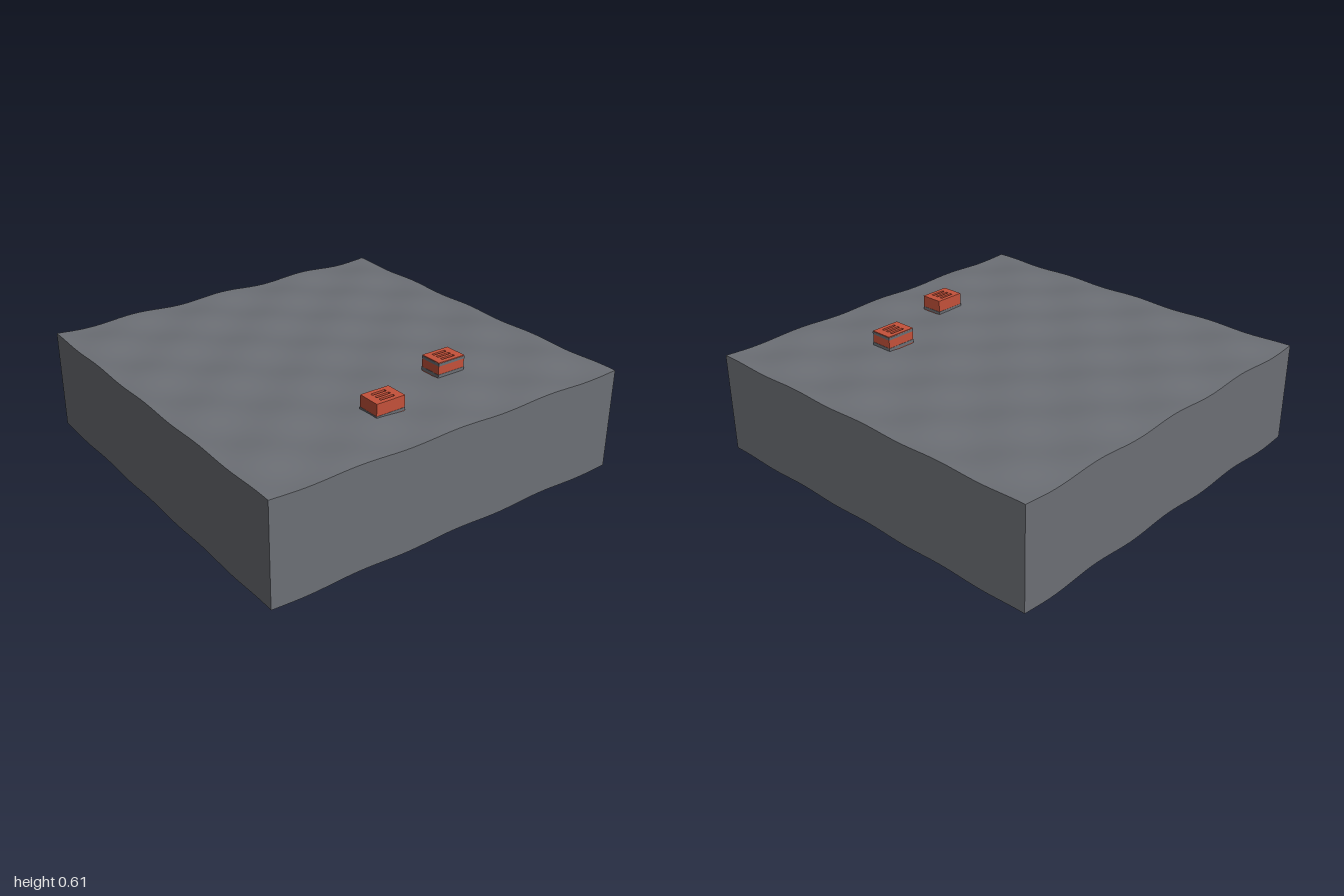
import * as THREE from 'three';

const HALF = 1, LEVEL = 0.535, DEPTH = 0.527, SEGMENTS = 56;

// Gentle ripple of the ground, used by the surface and by both rims of the walls
const ripple = (x, z) => 0.008 * Math.cos(13.1 * (x + 0.03)) * Math.cos(11.5 * z);

export function createModel() {
  const stone = new THREE.MeshStandardMaterial({ color: 0x6c6f75, side: THREE.DoubleSide });
  stone.name = 'stone grey';
  const clay = new THREE.MeshStandardMaterial({ color: 0xc4513a });
  clay.name = 'brick red';

  const model = new THREE.Group();
  model.name = 'groundBlock';
  const add = (parent, geometry, material, name) => {
    const mesh = new THREE.Mesh(geometry, material);
    mesh.name = name;
    parent.add(mesh);
    return mesh;
  };

  // Lift every vertex by the ripple at its place
  const applyRipple = (geometry) => {
    const p = geometry.attributes.position;
    for (let i = 0; i < p.count; i++) p.setY(i, p.getY(i) + ripple(p.getX(i), p.getZ(i)));
    geometry.computeVertexNormals();
    return geometry;
  };

  // Rippled top surface
  const ground = new THREE.PlaneGeometry(2 * HALF, 2 * HALF, SEGMENTS, SEGMENTS);
  ground.rotateX(-Math.PI / 2).translate(0, LEVEL, 0);
  add(model, applyRipple(ground), stone, 'groundSurface');

  // Four thin walls, open below, whose upper and lower edges follow the ripple
  ['frontWall', 'leftWall', 'backWall', 'rightWall'].forEach((name, i) => {
    const wall = new THREE.PlaneGeometry(2 * HALF, DEPTH, SEGMENTS, 1);
    wall.translate(0, LEVEL - DEPTH / 2, HALF).rotateY(i * Math.PI / 2);
    add(model, applyRipple(wall), stone, name);
  });

  // Rectangle outline, usable as a shape or as a hole
  const rectangle = (PathType, x, w, d) => new PathType([
    [-w / 2, -d / 2], [w / 2, -d / 2], [w / 2, d / 2], [-w / 2, d / 2],
  ].map(([px, py]) => new THREE.Vector2(x + px, py)));

  // Rectangular ring standing on height y
  const slab = (w, d, y, height, holes) => {
    const shape = rectangle(THREE.Shape, 0, w, d);
    shape.holes = holes;
    return new THREE.ExtrudeGeometry(shape, { depth: height, bevelEnabled: false })
      .rotateX(-Math.PI / 2).translate(0, y, 0);
  };

  // Brick with three slots and grey bands around its sides
  const W = 0.12, D = 0.16;
  const addBrick = (name, x, z, top, bands) => {
    const brick = new THREE.Group();
    brick.name = name;
    brick.position.set(x, 0, z);
    const slots = [-0.03, 0, 0.03].map((sx) => rectangle(THREE.Path, sx, 0.014, 0.08));
    add(brick, slab(W, D, 0.53, top - 0.53, slots), clay, 'brickBody');
    bands.forEach(([y, height]) => add(brick,
      slab(W + 0.003, D + 0.003, y, height, [rectangle(THREE.Path, 0, W, D)]), stone, 'greyBand'));
    model.add(brick);
  };
  addBrick('backBrick', 0.5, -0.335, 0.613, [[0.535, 0.016], [0.595, 0.014]]);
  addBrick('frontBrick', 0.66, 0.165, 0.61, [[0.535, 0.014]]);

  return model;
}
